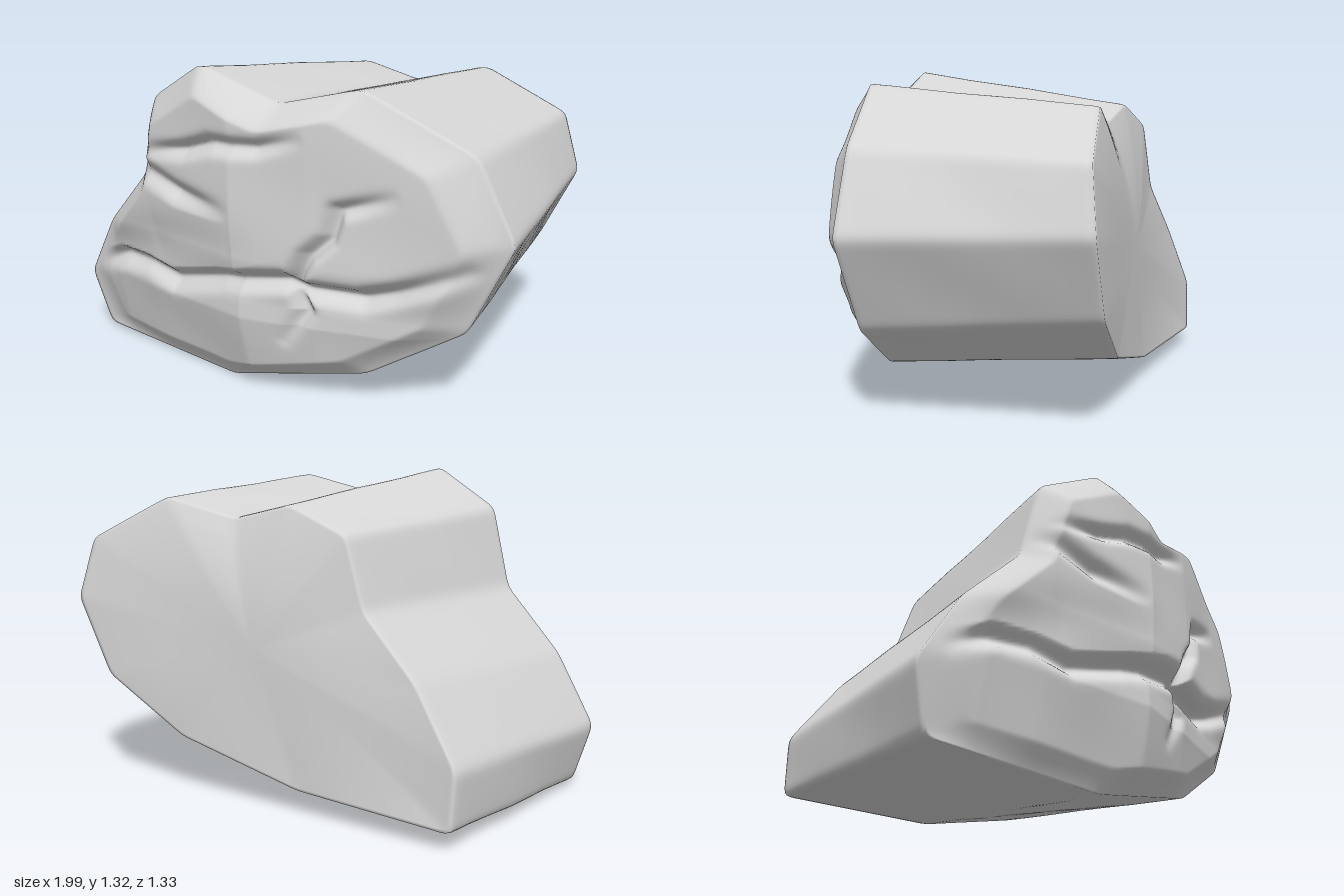
import * as THREE from 'three';
import { mergeVertices } from 'three/addons/utils/BufferGeometryUtils.js';

const COLUMNS = 300;

// Corners of the front rim and the matching back rim, counter-clockwise from the front: x, y, z
const FRONT = [
  [-1, 0.27, 0.5], [-0.93, 0.02, 0.47], [-0.15, 0, 0.49], [0.45, 0.145, 0.39], [0.83, 0.385, 0.28],
  [1.005, 0.76, 0.27], [0.855, 1.075, 0.3], [0.455, 1.295, 0.45], [0.13, 1.212, 0.52],
  [-0.2, 1.33, 0.58], [-0.495, 1.16, 0.54], [-0.58, 0.82, 0.53], [-0.83, 0.56, 0.51],
];
const BACK = [
  [-0.89, 0.3, -0.49], [-0.88, 0.07, -0.5], [-0.2, 0.1, -0.5], [0.34, 0.25, -0.57], [0.68, 0.48, -0.64],
  [0.83, 0.8, -0.66], [0.77, 1.05, -0.62], [0.44, 1.225, -0.52], [0.15, 1.145, -0.44],
  [-0.11, 1.205, -0.42], [-0.37, 1.1, -0.42], [-0.46, 0.82, -0.43], [-0.7, 0.58, -0.45],
];

// Cracks in the front face: width, then x, y, depth along the path
const CRACKS = [
  { width: 0.04, path: [[-0.87, 0.36, 0.02], [-0.72, 0.43, 0.06], [-0.55, 0.44, 0.05], [-0.38, 0.41, 0.06], [-0.1, 0.49, 0.06],
    [0.2, 0.54, 0.07], [0.27, 0.51, 0.07], [0.48, 0.5, 0.07], [0.6, 0.54, 0.06], [0.86, 0.65, 0.03]] },
  { width: 0.03, path: [[-0.47, 0.96, 0.01], [-0.25, 1, 0.05], [-0.1, 1.05, 0.05], [0.1, 1.06, 0.04], [0.3, 1.12, 0]] },
  { width: 0.04, path: [[-0.53, 0.89, 0.03], [-0.3, 0.82, 0.05], [0, 0.79, 0]] },
  { width: 0.03, path: [[0.18, 0.28, 0.01], [0.27, 0.42, 0.04], [0.23, 0.53, 0.06], [0.3, 0.66, 0.06], [0.38, 0.74, 0.05],
    [0.41, 0.85, 0.05], [0.64, 0.93, 0]] },
  { width: 0.11, path: [[-0.75, 0.52, 0.02], [-0.45, 0.58, 0.035], [-0.05, 0.62, 0.01]] },
];

// Depth of the front face across its width: x, z
const FACE = [[-1, 0.56], [-0.75, 0.615], [-0.5, 0.64], [0, 0.67], [0.3, 0.59], [0.6, 0.48], [0.87, 0.385], [1.01, 0.3]];

const mix = THREE.MathUtils.lerp;
const clamp = THREE.MathUtils.clamp;
const mixPoint = (a, b, t) => a.map((v, i) => mix(v, b[i], t));

// Spread points evenly over a rim and soften its corners
function sampleRim(corners) {
  const n = corners.length;
  const lengths = FRONT.map((p, i) => Math.hypot(FRONT[(i + 1) % n][0] - p[0], FRONT[(i + 1) % n][1] - p[1]));
  const total = lengths.reduce((a, b) => a + b);
  let points = [];
  for (let j = 0, side = 0, start = 0; j < COLUMNS; j++) {
    const s = (j / COLUMNS) * total;
    while (s > start + lengths[side]) start += lengths[side++];
    points.push(mixPoint(corners[side], corners[(side + 1) % n], (s - start) / lengths[side]));
  }
  for (let pass = 0; pass < 3; pass++) {
    points = points.map((p, j) => mixPoint(p, mixPoint(
      points[(j + COLUMNS - 1) % COLUMNS], points[(j + 1) % COLUMNS], 0.5), 0.5));
  }
  return points;
}

function crackDepth(x, y) {
  let depth = 0;
  for (const { width, path } of CRACKS) {
    let deepest = 0;
    for (let i = 0; i + 1 < path.length; i++) {
      const [ax, ay, ad] = path[i], [bx, by, bd] = path[i + 1];
      const dx = bx - ax, dy = by - ay;
      const t = clamp(((x - ax) * dx + (y - ay) * dy) / (dx * dx + dy * dy), 0, 1);
      const d = Math.hypot(x - ax - dx * t, y - ay - dy * t);
      deepest = Math.max(deepest, mix(ad, bd, t) * Math.exp(-((d / width) ** 2)));
    }
    depth = Math.max(depth, deepest);
  }
  return depth;
}

// Front surface without cracks; the slab below the long crack sits back and leans away
function faceDepth(x, y) {
  let i = 0;
  while (i < FACE.length - 2 && x > FACE[i + 1][0]) i++;
  const t = (x - FACE[i][0]) / (FACE[i + 1][0] - FACE[i][0]);
  const ripple = 0.005 * Math.sin(9 * x + 4 * y) * Math.sin(8 * y - 3 * x);
  const slab = 0.045 * (1 - THREE.MathUtils.smoothstep(y, 0.42, 0.62)) + 0.24 * Math.max(0, 0.35 - y);
  return mix(FACE[i][1], FACE[i + 1][1], t) - slab + ripple;
}

export function createModel() {
  const group = new THREE.Group();
  group.name = 'rock';
  const stone = new THREE.MeshStandardMaterial({ color: 0xd6d6d6 });
  stone.name = 'light grey stone';

  const front = sampleRim(FRONT), back = sampleRim(BACK);
  const rings = [];

  // Cracked front face, sloping to a bevel at the rim
  const frontSteps = 75;
  for (let i = 0; i <= frontSteps; i++) {
    const t = i / frontSteps;
    const bevel = clamp((t - 0.85) / 0.15, 0, 1) ** 1.2;
    rings.push(front.map(([rx, ry, rz]) => {
      const x = rx * t, y = mix(0.6, ry, t);
      return [x, y, mix(faceDepth(x, y), rz, bevel) - crackDepth(x, y) * (1 - bevel)];
    }));
  }

  // Tapering sides with a faint unevenness
  for (const t of [0.02, 0.1, 0.25, 0.4, 0.55, 0.7, 0.85, 0.95, 0.98]) {
    rings.push(front.map((p, j) => {
      const q = mixPoint(p, back[j], t);
      const r = 1 + 0.004 * Math.sin(j * 0.21 + t * 9) * Math.sin(t * Math.PI);
      return [q[0] * r, mix(0.6, q[1], r), q[2]];
    }));
  }

  // Back face, easing from the rim to one slanted plane
  for (const t of [0.995, 0.975, 0.94, 0.87, 0.8, 0.7, 0.6, 0.5, 0.4, 0.3, 0.2, 0.1, 0]) {
    rings.push(back.map(([rx, ry, rz]) => {
      const x = rx * t;
      return [x, mix(0.64, ry, t), mix(-0.52 - 0.1 * x, rz, t * t)];
    }));
  }

  const index = [];
  for (let i = 0; i + 1 < rings.length; i++) {
    for (let j = 0; j < COLUMNS; j++) {
      const k = (j + 1) % COLUMNS;
      const a = i * COLUMNS + j, b = a + COLUMNS, c = (i + 1) * COLUMNS + k, d = i * COLUMNS + k;
      index.push(a, b, c, a, c, d);
    }
  }
  let geometry = new THREE.BufferGeometry();
  geometry.setAttribute('position', new THREE.Float32BufferAttribute(rings.flat(2), 3));
  geometry.setIndex(index);
  geometry = mergeVertices(geometry, 1e-5);
  geometry.computeBoundingBox();
  geometry.translate(0, -geometry.boundingBox.min.y, 0);
  geometry.computeVertexNormals();

  const body = new THREE.Mesh(geometry, stone);
  body.name = 'rockBody';
  group.add(body);
  return group;
}
